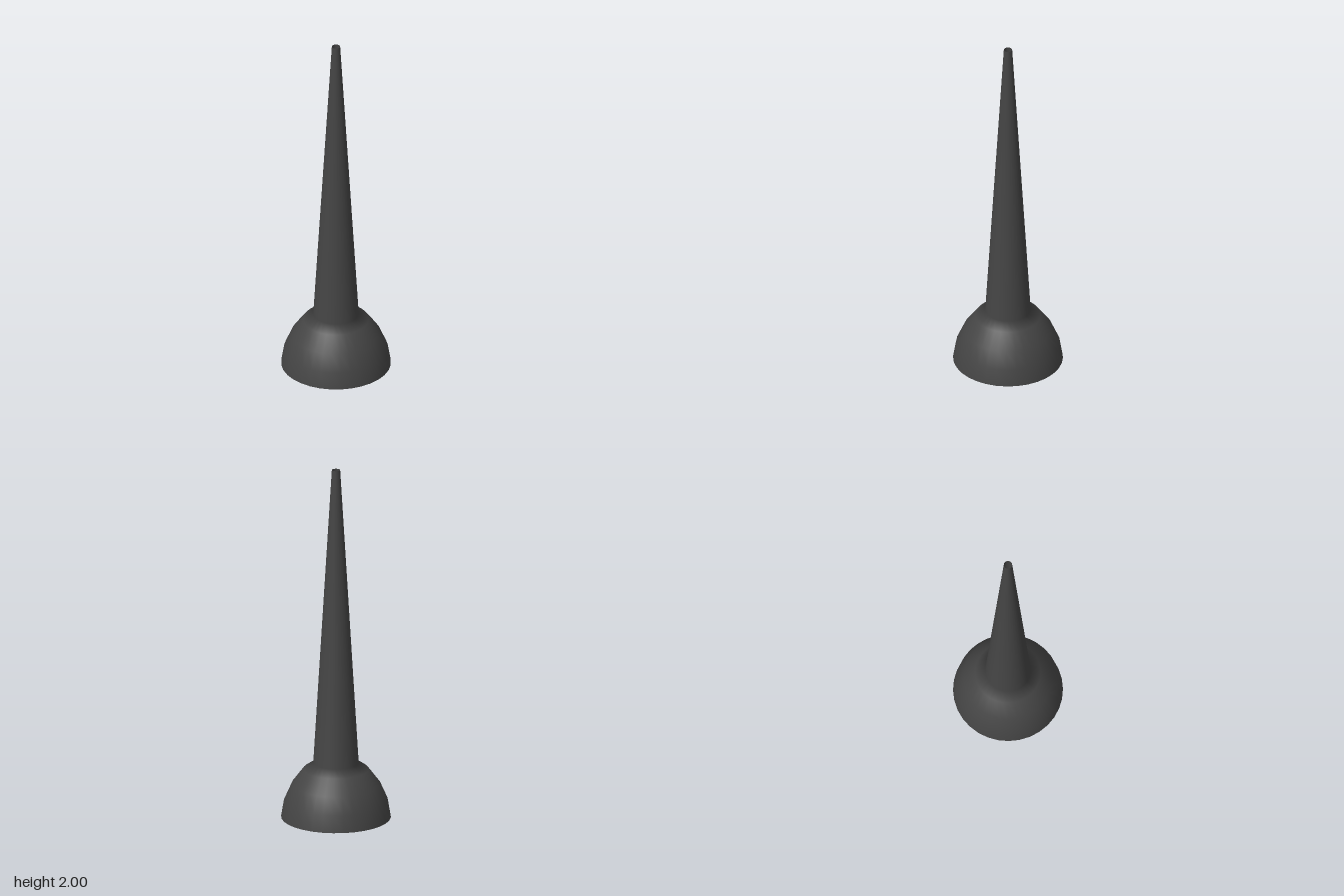
import * as THREE from 'three';

export function createModel() {
  const group = new THREE.Group();
  group.name = 'taperedSpout';

  const darkGrey = new THREE.MeshStandardMaterial({ color: 0x444444, side: THREE.DoubleSide });
  darkGrey.name = 'dark grey';

  // Open shell: domed skirt flowing into a long hollow taper, open at both ends
  const profile = [
    [0.302, 0], [0.286, 0.095], [0.244, 0.19], [0.18, 0.275], [0.125, 0.312], // domed skirt
    [0.023, 2], // tip rim
  ].map(([r, y]) => new THREE.Vector2(r, y));

  const shell = new THREE.Mesh(new THREE.LatheGeometry(profile, 32), darkGrey);
  shell.name = 'domeAndTaperShell';
  group.add(shell);

  return group;
}
